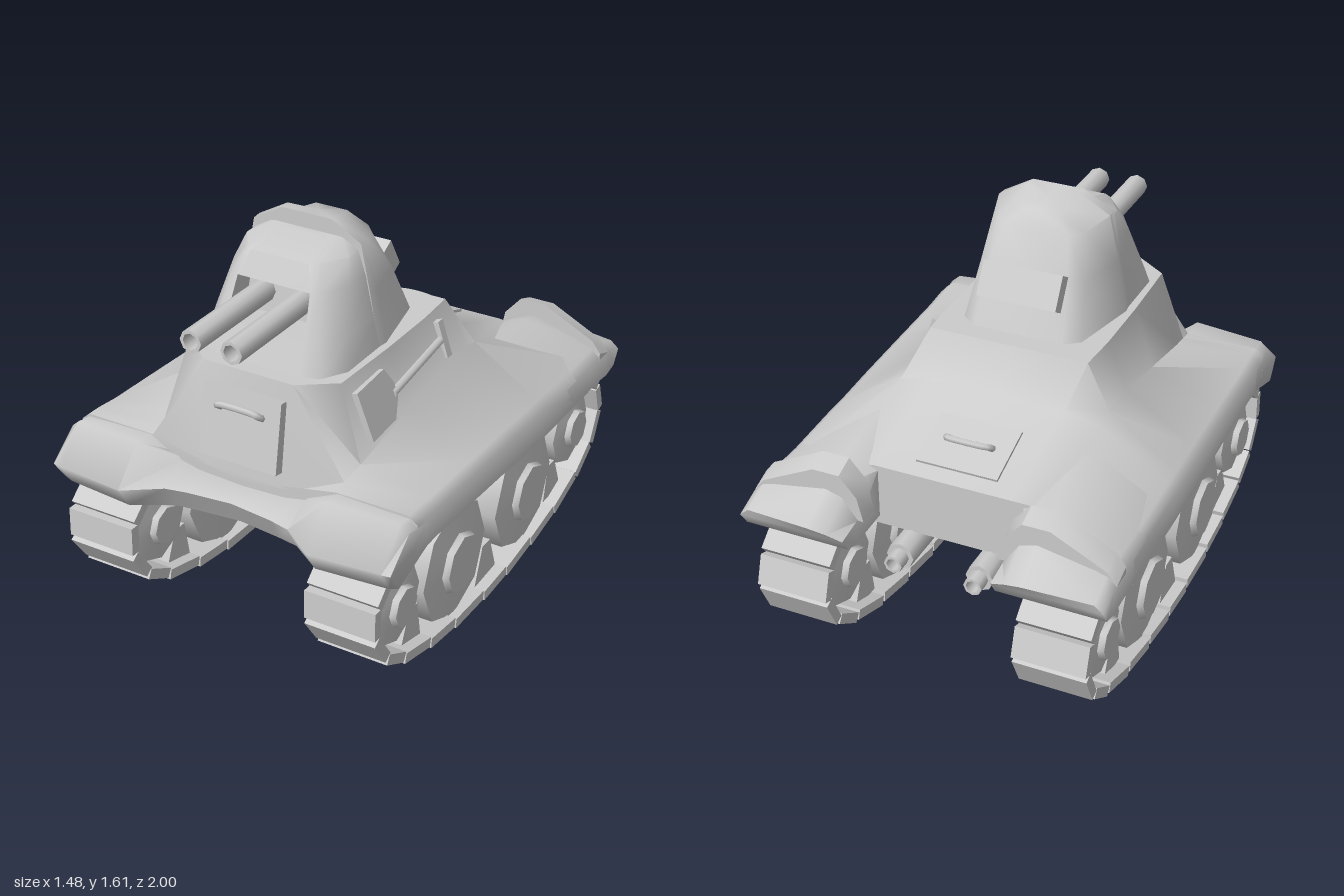
import * as THREE from 'three';
import { toCreasedNormals } from 'three/addons/utils/BufferGeometryUtils.js';

const smoothMat = new THREE.MeshStandardMaterial({ color: 0xcccccc });
const flatMat = new THREE.MeshStandardMaterial({ color: 0xcccccc, flatShading: true });

function add(parent, name, geo, mat = flatMat) {
  const mesh = new THREE.Mesh(geo, mat);
  mesh.name = name;
  parent.add(mesh);
  return mesh;
}

// Skin closed rings of [x, y, z] points, cap both ends and make faces point outward
function loft(rings, crease = 1.0) {
  const n = rings[0].length, pos = [], tris = [];
  const mid = (r) => [0, 1, 2].map((k) => r.reduce((s, p) => s + p[k], 0) / n);
  for (let j = 0; j < n; j++) {
    const k = (j + 1) % n;
    for (let i = 0; i < rings.length - 1; i++) {
      const a = rings[i], b = rings[i + 1];
      tris.push([a[j], a[k], b[k]], [a[j], b[k], b[j]]);
    }
    const first = rings[0], last = rings[rings.length - 1];
    tris.push([mid(first), first[k], first[j]], [mid(last), last[j], last[k]]);
  }
  const V = (p) => new THREE.Vector3(...p);
  const volume = tris.reduce((s, [a, b, c]) => s + V(a).dot(V(b).cross(V(c))), 0);
  for (const [a, b, c] of tris) pos.push(...a, ...(volume < 0 ? c : b), ...(volume < 0 ? b : c));
  const geo = new THREE.BufferGeometry();
  geo.setAttribute('position', new THREE.Float32BufferAttribute(pos, 3));
  return toCreasedNormals(geo, crease);
}

// Complete a half ring that starts and ends on the centre plane
const mirrorRing = (half) =>
  [...half, ...half.slice(1, -1).reverse().map(([x, y, z]) => [-x, y, z])];

// Octagonal tube along +z, bored right through
function pipe(radius, bore, length) {
  const pts = [[bore, 0], [radius, 0], [radius, length], [bore, length], [bore, 0]];
  const geo = new THREE.LatheGeometry(pts.map((p) => new THREE.Vector2(...p)), 8).rotateX(Math.PI / 2);
  return toCreasedNormals(geo, 1.0);
}

// Plate with a bent grab handle on its +z face
function hatch(name, w, h, d, handleY) {
  const g = new THREE.Group();
  g.name = name;
  add(g, 'hatchPlate', new THREE.BoxGeometry(w, h, d));
  const z = d / 2;
  const path = new THREE.CatmullRomCurve3([[-0.09, -0.015, z - 0.01], [-0.09, 0, z + 0.02], [-0.07, 0.01, z + 0.03],
    [0.07, 0.01, z + 0.03], [0.09, 0, z + 0.02], [0.09, -0.015, z - 0.01]].map((p) => new THREE.Vector3(...p)));
  add(g, 'hatchHandle', new THREE.TubeGeometry(path, 16, 0.014, 6), smoothMat).position.y = handleY;
  return g;
}

function buildHull(root) {
  // z, deck half width, deck height, wall foot x, wall foot y, skirt top, skirt bottom, belly
  const stations = [
    [0.78, 0.22, 0.74, 0.40, 0.79, 0.76, 0.61, 0.60],
    [0.72, 0.19, 1.14, 0.40, 0.80, 0.76, 0.635, 0.62],
    [0.62, 0.33, 1.14, 0.41, 0.825, 0.75, 0.635, 0.62],
    [0.30, 0.34, 1.14, 0.42, 0.895, 0.74, 0.62, 0.59],
    [0.02, 0.34, 1.14, 0.42, 0.945, 0.73, 0.605, 0.56],
    [-0.16, 0.33, 1.14, 0.42, 0.955, 0.72, 0.595, 0.55],
    [-0.25, 0.28, 0.97, 0.42, 0.935, 0.72, 0.59, 0.55],
    [-0.68, 0.25, 0.82, 0.32, 0.82, 0.70, 0.59, 0.56],
  ];
  add(root, 'hull', loft(stations.map(([z, dx, dy, fx, fy, top, bot, belly]) => mirrorRing([
    [0, dy, z], [dx, dy, z], [fx, fy, z], [0.70, top + 0.03, z], [0.735, top, z],
    [0.735, bot, z], [0.36, belly, z], [0, belly, z]]))), smoothMat);

  // Nose apron: x, top height, foremost z, lower edge
  const half = [[0.735, 0.76, 0.97, 0.57], [0.70, 0.79, 0.975, 0.56], [0.41, 0.80, 1.0, 0.56],
    [0.27, 0.72, 0.90, 0.55], [0.18, 0.71, 0.88, 0.545]];
  const across = [...half, [0, 0.71, 0.86, 0.545], ...half.map(([x, ...r]) => [-x, ...r]).reverse()];
  add(root, 'frontFenders', loft(across.map(([x, top, z, bot]) => [
    [x, top - 0.025, 0.7], [x, top, z - 0.13], [x, 0.655, z], [x, bot, z - 0.06], [x, 0.635, 0.7]]), 1.4), smoothMat);

  for (const s of [1, -1]) {
    // Rear mudguard: z, ridge height, inner height, outer height, bottom
    const guard = [[-0.35, 0.89, 0.84, 0.70, 0.60], [-0.68, 0.845, 0.80, 0.71, 0.595], [-0.80, 0.82, 0.70, 0.71, 0.59],
      [-0.86, 0.78, 0.68, 0.70, 0.585], [-1.0, 0.705, 0.66, 0.66, 0.60]];
    add(root, 'rearFender', loft(guard.map(([z, ridge, inner, outer, bot]) => {
      const tip = z === -1 ? 0.03 : 0, under = z === -1 ? 0.07 : 0;
      return [[0.30, bot, z + under], [0.30, inner, z + tip], [0.36, ridge - 0.02, z + tip / 2], [0.43, ridge, z],
        [0.70, outer + 0.03, z + tip], [0.735, outer, z + tip], [0.735, bot, z + under]]
        .map(([x, y, w]) => [s * x, y, w]);
    })), smoothMat);
    // Raised strap over the mudguard
    const strap = [[0.275, 0.68], [0.30, 0.81], [0.37, 0.89], [0.48, 0.89], [0.70, 0.78], [0.738, 0.73], [0.738, 0.70]];
    add(root, 'fenderStrap', loft([-0.765, -0.85].map((z, i) =>
      strap.map(([x, y]) => [s * x, y - (y > 0.71 ? 0.03 * i : 0), z])), 0.6), smoothMat);
    // Exhausts below the rear deck
    const exhaust = new THREE.Group();
    exhaust.name = 'exhaust';
    exhaust.position.set(s * 0.165, 0.51, -0.58);
    exhaust.rotation.y = Math.PI;
    add(exhaust, 'exhaustSleeve', pipe(0.056, 0.026, 0.2), smoothMat);
    add(exhaust, 'exhaustTip', pipe(0.037, 0.026, 0.26), smoothMat);
    root.add(exhaust);
  }

  const front = hatch('frontHatch', 0.335, 0.28, 0.05, 0.075);
  front.position.set(0, 0.935, 0.765);
  front.rotation.x = -0.17;
  const rear = hatch('rearHatch', 0.335, 0.24, 0.03, 0);
  rear.position.set(0, 0.877, -0.505);
  rear.rotation.x = -Math.PI / 2 - 0.335;
  root.add(front, rear);
}

function buildTurret(root) {
  // Rear shell: side x, back x, back z, front height, back height
  const shell = [[0.315, 0.25, -0.08, 1.13, 1.13], [0.275, 0.22, 0.02, 1.35, 1.35],
    [0.235, 0.18, 0.10, 1.54, 1.51], [0.11, 0.09, 0.14, 1.61, 1.57]];
  add(root, 'turretShell', loft(shell.map(([sx, bx, bz, fy, by]) => mirrorRing([
    [0, by, bz], [bx * 0.75, by, bz], [bx, by, bz + 0.05], [sx, fy, 0.27], [sx * 0.98, fy, 0.315], [0, fy, 0.315]]))), smoothMat);

  // Gun shield with a niche: height, front z, niche z, niche x, corner x, side x
  const shield = [[1.13, 0.66, 0.66, 0.17, 0.25, 0.31], [1.26, 0.61, 0.61, 0.165, 0.22, 0.285],
    [1.26, 0.61, 0.48, 0.165, 0.22, 0.285], [1.42, 0.545, 0.46, 0.15, 0.19, 0.25],
    [1.42, 0.545, 0.545, 0.15, 0.19, 0.25], [1.51, 0.50, 0.50, 0.12, 0.15, 0.22], [1.55, 0.34, 0.34, 0.08, 0.12, 0.15]];
  add(root, 'gunShield', loft(shield.map(([y, fz, nz, nx, cx, sx]) => mirrorRing([
    [0, y, nz], [nx, y, nz], [nx + 0.004, y, fz], [cx, y, fz - 0.02], [sx, y, Math.max(fz - 0.12, 0.31)],
    [sx, y, 0.28], [0, y, 0.28]])), 0.8), smoothMat);

  for (const s of [1, -1])
    add(root, 'gunBarrel', pipe(0.045, 0.032, 0.52), smoothMat).position.set(s * 0.085, 1.345, 0.43);

  const box = add(root, 'turretRearHatch', new THREE.BoxGeometry(0.33, 0.14, 0.06));
  box.position.set(0, 1.33, -0.03);
  box.rotation.x = 0.53;
}

function buildShovel(root) {
  const g = new THREE.Group();
  g.name = 'shovel';
  g.position.set(0.383, 1.0, 0);
  g.rotation.z = 0.31;
  const blade = new THREE.Shape([[0.585, 0.09], [0.39, 0.1], [0.35, 0.03], [0.35, -0.03], [0.40, -0.1], [0.57, -0.11]]
    .map(([z, y]) => new THREE.Vector2(-z, y)));
  add(g, 'shovelBlade', new THREE.ExtrudeGeometry(blade, { depth: 0.025, bevelEnabled: false })
    .rotateY(Math.PI / 2).translate(-0.005, 0, 0));
  const shaft = add(g, 'shovelShaft', new THREE.CylinderGeometry(0.017, 0.017, 0.42, 6).rotateX(Math.PI / 2), smoothMat);
  shaft.position.set(0.014, 0.015, 0.16);
  shaft.rotation.x = 0.11;
  add(g, 'shovelGrip', new THREE.BoxGeometry(0.03, 0.15, 0.035)).position.set(0.014, 0.035, -0.035);
  root.add(g);
}

function buildTrack(s) {
  const g = new THREE.Group();
  g.name = s > 0 ? 'leftTrack' : 'rightTrack';
  g.position.x = s * 0.53 - 0.004;
  // Joints of the link chain as z, y
  const joints = [[0.61, 0.60], [0.41, 0.58], [0.20, 0.56], [0, 0.55], [-0.20, 0.55], [-0.40, 0.565], [-0.61, 0.59],
    [-0.82, 0.58], [-0.93, 0.48], [-0.965, 0.35], [-0.89, 0.215], [-0.75, 0.13], [-0.54, 0.07],
    [-0.32, 0.04], [-0.10, 0.022], [0.10, 0.022], [0.34, 0.04], [0.54, 0.075], [0.74, 0.135], [0.87, 0.215],
    [0.95, 0.345], [0.94, 0.475], [0.81, 0.575]];
  joints.forEach(([z, y], i) => {
    const [z2, y2] = joints[(i + 1) % joints.length];
    const link = add(g, 'trackLink', new THREE.BoxGeometry(0.295, 0.042, Math.hypot(z2 - z, y2 - y) - 0.012));
    link.position.set(0, (y + y2) / 2, (z + z2) / 2);
    link.rotation.x = -Math.atan2(y2 - y, z2 - z) + 0.05;
  });
  // Eight-sided wheels with raised hubs
  for (const [z, y, r] of [[0.29, 0.29, 0.25], [-0.30, 0.29, 0.25], [0.74, 0.365, 0.165], [-0.74, 0.365, 0.165]]) {
    const half = [[0, 0.15], [r * 0.48, 0.15], [r * 0.52, 0.125], [r, 0.11]];
    const profile = [...half.map(([a, b]) => [a, -b]), ...half.reverse()].map((p) => new THREE.Vector2(...p));
    const wheel = add(g, 'roadWheel', toCreasedNormals(new THREE.LatheGeometry(profile, 8).rotateZ(-Math.PI / 2), 1.0), smoothMat);
    wheel.position.set(0, y, z);
  }
  // Wedge blocks between the wheels: z, base y, half base, lean
  for (const [z, y, w, lean] of [[0, 0.04, 0.09, 0], [0.62, 0.10, 0.08, -0.02], [-0.61, 0.10, 0.08, 0.02]]) {
    const rect = (h, hw, dz) => [[-0.1, h, z + dz - hw], [0.1, h, z + dz - hw], [0.1, h, z + dz + hw], [-0.1, h, z + dz + hw]];
    add(g, 'trackWedge', loft([rect(y, w, 0), rect(y + 0.16, 0.032, lean)]));
  }
  return g;
}

export function createModel() {
  const root = new THREE.Group();
  root.name = 'tank';
  buildHull(root);
  buildTurret(root);
  buildShovel(root);
  root.add(buildTrack(1), buildTrack(-1));
  return root;
}
